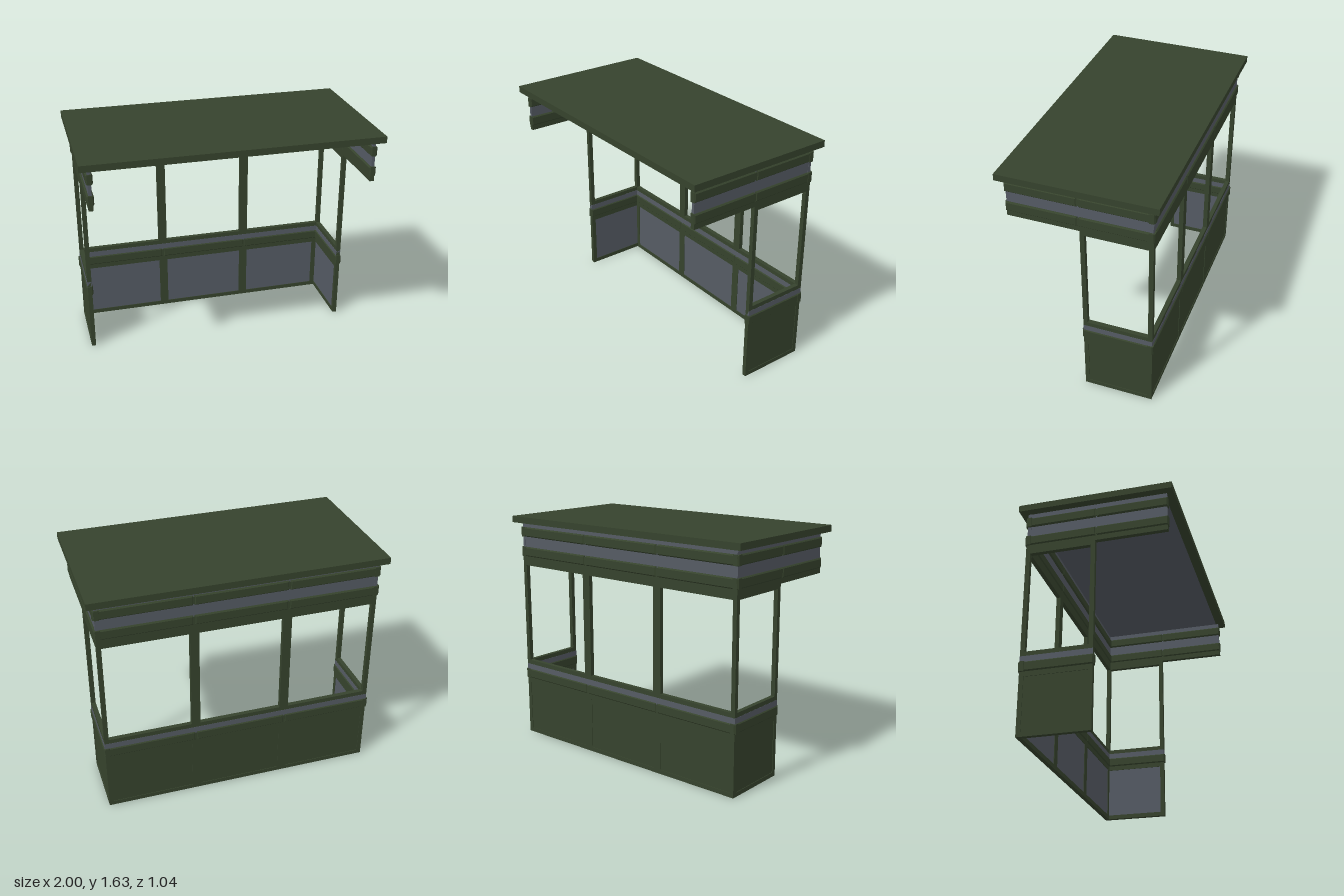
import * as THREE from 'three';

const GREEN = new THREE.MeshStandardMaterial({ color: 0x36432d });
const SLATE = new THREE.MeshStandardMaterial({ color: 0x555b64 });

// Wall heights
const PANEL_TOP = 0.395, RAIL_LOW = 0.463, SILL = 0.535, WIN_LOW = 0.565;
const WIN_TOP = 1.28, FASCIA_LOW = 1.31, ROOF_LOW = 1.59, ROOF_TOP = 1.635;
const T = 0.03;      // wall thickness
const INSET = 0.004; // recess of panels and bands

// Box given by its limits on each axis
function box(group, name, mat, x0, x1, y0, y1, z0, z1) {
  const mesh = new THREE.Mesh(new THREE.BoxGeometry(x1 - x0, y1 - y0, z1 - z0), mat);
  mesh.position.set((x0 + x1) / 2, (y0 + y1) / 2, (z0 + z1) / 2);
  mesh.name = name;
  group.add(mesh);
  return mesh;
}

// Chamfered rail made of segments between the given stops, with a thinner core at the joints
function rail(group, name, stops, y) {
  const b = 0.008, h = 0.068, d = 0.045, gap = 0.005;
  const rg = new THREE.Group();
  rg.name = name;
  for (let i = 0; i < stops.length - 1; i++) {
    const x0 = stops[i] + (i ? gap : 0) + b;
    const x1 = stops[i + 1] - (i < stops.length - 2 ? gap : 0) - b;
    const s = new THREE.Shape();
    s.moveTo(x0, -h / 2 + b);
    s.lineTo(x1, -h / 2 + b);
    s.lineTo(x1, h / 2 - b);
    s.lineTo(x0, h / 2 - b);
    s.closePath();
    const geo = new THREE.ExtrudeGeometry(s, {
      depth: d - 2 * b, bevelEnabled: true, bevelThickness: b, bevelSize: b, bevelSegments: 1,
    });
    geo.translate(0, y, -d / 2 + b);
    const mesh = new THREE.Mesh(geo, GREEN);
    mesh.name = 'railSegment';
    rg.add(mesh);
  }
  box(rg, 'railCore', GREEN, stops[0] + 0.02, stops[stops.length - 1] - 0.02,
    y - 0.025, y + 0.025, -0.018, 0.018);
  group.add(rg);
}

// Slim horizontal band, slightly recessed
function band(group, x0, x1, y0, y1) {
  box(group, 'greyBand', SLATE, x0, x1, y0, y1, -T / 2 + INSET, T / 2 - INSET);
}

// Wall in local x/y: +z is the inside. posts = [from, to] pairs, panels fill between them.
function wall(name, x0, x1, posts, lowerStops, upperX0, upperX1, upperStops) {
  const g = new THREE.Group();
  g.name = name;
  const h = T / 2;
  for (const [a, b] of posts) box(g, 'post', GREEN, a, b, 0, FASCIA_LOW, -h, h);
  box(g, 'bottomBar', GREEN, x0, x1, 0, 0.03, -h, h);
  box(g, 'middleBar', GREEN, x0, x1, PANEL_TOP, RAIL_LOW, -h, h);
  for (let i = 0; i < posts.length - 1; i++) {
    const a = posts[i][1], b = posts[i + 1][0];
    box(g, 'outerPanel', GREEN, a, b, 0.03, PANEL_TOP, -h + INSET, 0);
    box(g, 'innerPanel', SLATE, a, b, 0.03, PANEL_TOP, 0, h - INSET);
  }
  // Grey band is flush enough to cover the posts
  box(g, 'lowerGreyBand', SLATE, x0, x1, RAIL_LOW, SILL, -h - 0.001, h + 0.001);
  box(g, 'windowSill', GREEN, x0, x1, SILL, WIN_LOW, -h, h);
  box(g, 'windowHead', GREEN, x0, x1, WIN_TOP, FASCIA_LOW, -h, h);
  rail(g, 'lowerRail', lowerStops, RAIL_LOW);

  // Fascia under the roof
  box(g, 'fasciaBase', GREEN, upperX0, upperX1, FASCIA_LOW, 1.38, -h, h);
  band(g, upperX0 + 0.002, upperX1 - 0.002, 1.38, ROOF_LOW);
  rail(g, 'fasciaRailLower', upperStops, 1.38);
  rail(g, 'fasciaRailUpper', upperStops, 1.522);
  return g;
}

export function createModel() {
  const model = new THREE.Group();
  model.name = 'busShelter';

  // Back wall with three bays
  const stops = [-0.96, -0.32, 0.32, 0.96];
  const back = wall('backWall', -0.95, 0.95,
    [[-0.95, -0.92], [-0.348, -0.287], [0.287, 0.348], [0.92, 0.95]],
    stops, -0.95, 0.95, stops);
  back.position.z = -0.46;
  // Inner corner strips and their foot beside the side walls
  for (const s of [-1, 1]) {
    box(back, 'cornerStrip', GREEN, s * 0.905 - 0.016, s * 0.905 + 0.016, 0, RAIL_LOW, -0.01, T / 2);
  }
  model.add(back);

  // Side walls: half-depth below, full-depth fascia above
  for (const s of [-1, 1]) {
    // Local x runs along world z, mirrored so that local +z always faces inside
    const pair = (a, b) => (s > 0 ? [a, b] : [-b, -a]);
    const list = (arr) => (s > 0 ? arr : arr.map((v) => -v).reverse());
    const [x0, x1] = pair(-0.475, 0);
    const [u0, u1] = pair(-0.475, 0.48);
    const posts = [pair(-0.475, -0.445), pair(-0.03, 0)];
    if (s < 0) posts.reverse();
    const side = wall(s > 0 ? 'leftWall' : 'rightWall', x0, x1, posts,
      list([-0.483, 0.007]), u0, u1, list([-0.483, 0.005, 0.485]));
    side.rotation.y = -s * Math.PI / 2;
    side.position.x = s * 0.935;
    model.add(side);
  }

  // Roof slab with a grey ceiling set in a green rim
  const roof = new THREE.Group();
  roof.name = 'roof';
  box(roof, 'roofSlab', GREEN, -1, 1, ROOF_LOW + 0.01, ROOF_TOP, -0.522, 0.522);
  box(roof, 'ceiling', SLATE, -0.935, 0.935, ROOF_LOW + 0.004, ROOF_LOW + 0.02, -0.46, 0.46);
  for (const s of [-1, 1]) {
    const zc = s * 0.491, xc = s * 0.9675;
    box(roof, 'roofRimLong', GREEN, -1, 1, ROOF_LOW, ROOF_LOW + 0.02, zc - 0.031, zc + 0.031);
    box(roof, 'roofRimShort', GREEN, xc - 0.0325, xc + 0.0325, ROOF_LOW, ROOF_LOW + 0.02, -0.46, 0.46);
  }
  model.add(roof);

  return model;
}
